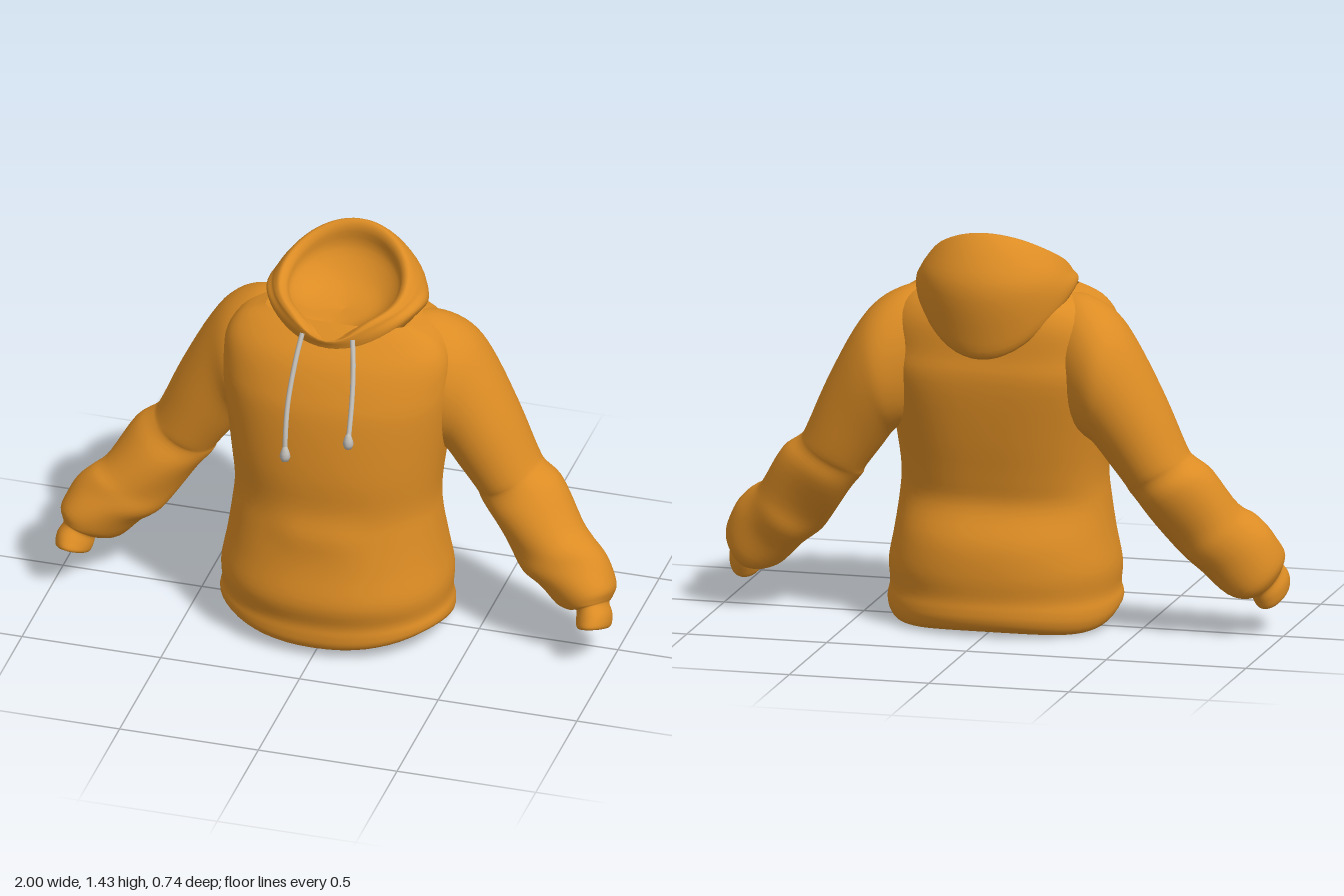
import * as THREE from 'three';

const cloth = new THREE.MeshStandardMaterial({ color: 0xdc8c24, side: THREE.DoubleSide });
cloth.name = 'orange cloth';
const cordMat = new THREE.MeshStandardMaterial({ color: 0xc2beb8 });
cordMat.name = 'pale grey cord';

// Catmull-Rom blend between rows of section values
function refine(rows, sub) {
  const out = [];
  const last = rows.length - 1;
  for (let i = 0; i < last; i++) {
    const [a, b, c, d] = [Math.max(i - 1, 0), i, i + 1, Math.min(i + 2, last)].map(k => rows[k]);
    for (let s = 0; s < sub; s++) {
      const t = s / sub;
      out.push(b.map((_, k) => 0.5 * (2 * b[k] + (c[k] - a[k]) * t
        + (2 * a[k] - 5 * b[k] + 4 * c[k] - d[k]) * t * t
        + (3 * b[k] - a[k] - 3 * c[k] + d[k]) * t * t * t)));
    }
  }
  out.push(rows[last]);
  return out;
}

// Smooth closed-ring skin; pointAt(row, angle, progress) gives each vertex
function skin(name, rows, pointAt, flip = false, sub = 4, seg = 56) {
  const fine = refine(rows, sub);
  const pos = [], idx = [];
  fine.forEach((row, i) => {
    for (let j = 0; j < seg; j++) pos.push(...pointAt(row, (j / seg) * Math.PI * 2, i / sub));
  });
  for (let i = 0; i < fine.length - 1; i++) {
    for (let j = 0; j < seg; j++) {
      const k = (j + 1) % seg;
      const a = i * seg + j, b = i * seg + k, c = a + seg, d = b + seg;
      if (flip) idx.push(a, c, b, b, c, d);
      else idx.push(a, b, c, b, d, c);
    }
  }
  const g = new THREE.BufferGeometry();
  g.setAttribute('position', new THREE.Float32BufferAttribute(pos, 3));
  g.setIndex(idx);
  g.computeVertexNormals();
  const mesh = new THREE.Mesh(g, cloth);
  mesh.name = name;
  return mesh;
}

const power = (v, p) => Math.sign(v) * Math.abs(v) ** p;

// Body: y, half width, front z, back z, hem wave, back roundness; starts inside the hem
const bodyRows = [
  [0.20, 0.395, 0.358, -0.295, 0, 0.9],
  [0.10, 0.34, 0.295, -0.24, 0.02, 0.92],
  [0.05, 0.325, 0.285, -0.23, 0.03, 0.92],
  [0.036, 0.355, 0.31, -0.255, 0.03, 0.92],
  [0.045, 0.39, 0.338, -0.287, 0.028, 0.92],
  [0.07, 0.408, 0.353, -0.30, 0.02, 0.92],
  [0.10, 0.41, 0.355, -0.30, 0.012, 0.92],
  [0.14, 0.402, 0.353, -0.295, 0.005, 0.92],
  [0.22, 0.405, 0.37, -0.30, 0, 0.9],
  [0.33, 0.385, 0.345, -0.285, 0, 0.9],
  [0.45, 0.368, 0.32, -0.225, 0, 0.85],
  [0.55, 0.36, 0.305, -0.235, 0, 0.8],
  [0.70, 0.375, 0.31, -0.265, 0, 0.75],
  [0.90, 0.40, 0.29, -0.295, 0, 0.65],
  [1.00, 0.405, 0.26, -0.285, 0, 0.65],
  [1.10, 0.395, 0.21, -0.275, 0, 0.65],
  [1.17, 0.345, 0.145, -0.25, 0, 0.7],
  [1.21, 0.26, 0.10, -0.21, 0, 0.8],
];
function bodyPoint([y, hx, zf, zb, wave, round], ang, step) {
  const front = Math.cos(ang) > 0, p = front ? 0.92 : round, mid = 0.03;
  const x = hx * power(Math.sin(ang), p);
  let z = mid + (front ? zf - mid : mid - zb) * power(Math.cos(ang), p);
  // soft front pocket swelling
  if (front && step > 7) z += 0.012 * Math.exp(-((x / 0.15) ** 4) - ((y - 0.47) / 0.07) ** 2);
  return [x, y + wave * Math.sin(10 * z), z];
}

// Sleeve: upper edge x y, lower edge x y, centre z, half depth, forward lift
const sleeveRows = [
  [0.22, 1.20, 0.24, 0.76, -0.065, 0.14, 0],
  [0.32, 1.195, 0.29, 0.72, -0.085, 0.175, 0],
  [0.42, 1.14, 0.335, 0.70, -0.10, 0.195, 0],
  [0.50, 1.04, 0.365, 0.68, -0.11, 0.18, 0],
  [0.60, 0.85, 0.41, 0.62, -0.105, 0.16, 0],
  [0.675, 0.68, 0.47, 0.54, -0.10, 0.142, 0],
  [0.705, 0.64, 0.485, 0.51, -0.095, 0.133, 0],
  [0.765, 0.59, 0.53, 0.45, -0.08, 0.145, 0],
  [0.85, 0.465, 0.61, 0.345, -0.04, 0.133, 0.01],
  [0.90, 0.42, 0.66, 0.28, -0.02, 0.137, 0.02],
  [0.955, 0.36, 0.72, 0.235, 0.0, 0.128, 0.03],
  [0.995, 0.28, 0.79, 0.175, 0.02, 0.122, 0.045],
  [0.985, 0.235, 0.84, 0.165, 0.035, 0.105, 0.045],
  [0.978, 0.22, 0.87, 0.175, 0.05, 0.085, 0.04],
  [0.995, 0.19, 0.875, 0.15, 0.07, 0.09, 0.04],
  [0.995, 0.15, 0.885, 0.13, 0.088, 0.09, 0.04],
  [0.97, 0.14, 0.915, 0.13, 0.092, 0.06, 0.03],
  [0.965, 0.155, 0.915, 0.145, 0.088, 0.05, 0.025],
  [0.955, 0.22, 0.895, 0.2, 0.06, 0.045, 0.02],
];
const sleevePoint = side => ([ux, uy, lx, ly, z, depth, lift], ang, step) => {
  // shallow wrinkles below the elbow
  const w = step > 5 && step < 12 ? 1 + 0.03 * Math.sin(3 * ang + step * 2.1) * Math.sin((step - 5) / 7 * Math.PI) : 1;
  const c = Math.cos(ang) * w, s = Math.sin(ang) * w;
  return [
    side * ((ux + lx) / 2 + (ux - lx) / 2 * c),
    (uy + ly) / 2 + (uy - ly) / 2 * c + lift * s,
    z + depth * s,
  ];
};

// Hood: half width, front z, back z, front y, back y, neck notch, side lift; outside, rim, then lining
const hoodRows = [
  [0.23, 0.12, -0.24, 1.08, 1.05, 0, 0.10],
  [0.275, 0.16, -0.32, 1.13, 1.0, 0, 0.15],
  [0.282, 0.172, -0.35, 1.17, 1.09, 0.01, 0.115],
  [0.265, 0.178, -0.367, 1.215, 1.25, 0.04, 0.04],
  [0.25, 0.176, -0.315, 1.24, 1.365, 0.06, -0.01],
  [0.225, 0.165, -0.25, 1.25, 1.43, 0.08, -0.03],
  [0.20, 0.14, -0.225, 1.24, 1.405, 0.075, -0.03],
  [0.185, 0.12, -0.225, 1.215, 1.32, 0.04, -0.01],
  [0.12, 0.05, -0.15, 1.19, 1.225, 0.005, 0],
  [0, -0.04, -0.04, 1.185, 1.185, 0, 0],
];
function hoodPoint([hx, zf, zb, yf, yb, notch, lift], ang) {
  const c = Math.cos(ang), s = Math.sin(ang), t = (1 + c) / 2;
  return [
    hx * s,
    yb + (yf - yb) * t + lift * s * s - notch * Math.max(0, c) ** 9,
    zb + (zf - zb) * t,
  ];
}

// Drawcord with a rounded tip
function drawcord(name, pts) {
  const group = new THREE.Group();
  group.name = name;
  const curve = new THREE.CatmullRomCurve3(pts.map(p => new THREE.Vector3(...p)));
  const cord = new THREE.Mesh(new THREE.TubeGeometry(curve, 32, 0.009, 10), cordMat);
  cord.name = 'cord';
  const profile = [[0, -0.028], [0.013, -0.024], [0.019, -0.008], [0.016, 0.008], [0.009, 0.028], [0, 0.034]];
  const tip = new THREE.Mesh(
    new THREE.LatheGeometry(profile.map(p => new THREE.Vector2(...p)), 14), cordMat);
  tip.name = 'cordTip';
  tip.position.copy(curve.getPoint(1));
  group.add(cord, tip);
  return group;
}

export function createModel() {
  const model = new THREE.Group();
  model.name = 'hoodedSweatshirt';
  model.add(skin('body', bodyRows, bodyPoint));
  model.add(skin('leftSleeve', sleeveRows, sleevePoint(1), false, 4, 36));
  model.add(skin('rightSleeve', sleeveRows, sleevePoint(-1), true, 4, 36));
  model.add(skin('hood', hoodRows, hoodPoint));
  model.add(drawcord('rightDrawcord', [
    [-0.085, 1.20, 0.178], [-0.095, 1.12, 0.222], [-0.105, 0.98, 0.285], [-0.103, 0.88, 0.322], [-0.1, 0.80, 0.338]]));
  model.add(drawcord('leftDrawcord', [
    [0.095, 1.20, 0.175], [0.11, 1.12, 0.217], [0.12, 1.02, 0.265], [0.124, 0.94, 0.305], [0.126, 0.885, 0.332]]));
  return model;
}
